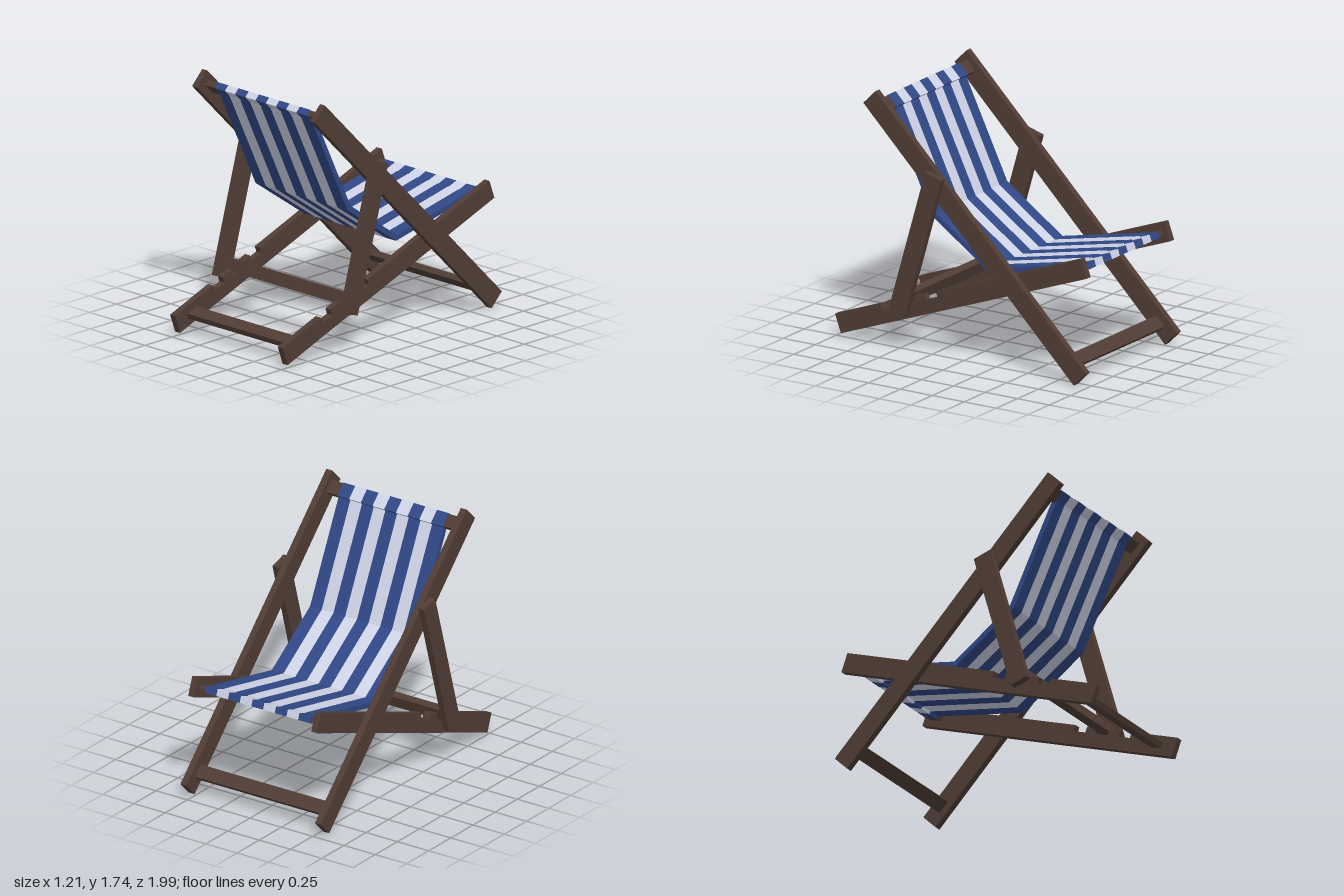
import * as THREE from 'three';

export function createModel() {
  const model = new THREE.Group();
  const wood = new THREE.MeshStandardMaterial({ color: 0x503d35 });
  const blue = new THREE.MeshStandardMaterial({ color: 0x304886 });
  const white = new THREE.MeshStandardMaterial({ color: 0xd0d5e8 });
  wood.name = 'darkWood';
  blue.name = 'blueCanvas';
  white.name = 'whiteCanvas';

  // Side-on points are [z, y]
  function add(name, geometry, material) {
    const mesh = new THREE.Mesh(geometry, material);
    mesh.name = name;
    model.add(mesh);
    return mesh;
  }

  // Box centred at [z, y], its long side leaning along the direction dir
  function bar(name, [z, y], dir, length, thick, x0, x1, material = wood) {
    const mesh = add(name, new THREE.BoxGeometry(x1 - x0, length, thick), material);
    mesh.position.set((x0 + x1) / 2, y, z);
    mesh.rotation.x = Math.atan2(dir[0], dir[1]);
  }

  // Side outline extruded from x0 to x1
  function slab(name, points, x0, x1, material) {
    const shape = new THREE.Shape(points.map(([z, y]) => new THREE.Vector2(z, y)));
    const geometry = new THREE.ExtrudeGeometry(shape, { depth: x1 - x0, bevelEnabled: false });
    geometry.rotateY(-Math.PI / 2).translate(x1, 0, 0);
    add(name, geometry, material);
  }

  const backDir = [0.707, 0.707];
  const seatDir = [-0.939, 0.344];
  const armDir = [-0.279, 0.96];

  // Notched seat rail outline: s runs along the rail, t across it
  const railPoint = (s, t) => [0.978 + seatDir[0] * s + 0.344 * t, 0.092 + seatDir[1] * s + 0.939 * t];
  const railOutline = [railPoint(0, -0.067), railPoint(0, 0.067)];
  for (const s of [0.425, 0.608, 0.791]) {
    railOutline.push(railPoint(s - 0.048, 0.067), railPoint(s - 0.048, 0.025),
      railPoint(s + 0.048, 0.025), railPoint(s + 0.048, 0.067));
  }
  railOutline.push(railPoint(2.051, 0.067), railPoint(2.051, -0.067));
  railOutline.reverse();

  // Mirrored rails and support arms
  for (const [side, sign] of [['left', 1], ['right', -1]]) {
    const span = (a, b) => (sign > 0 ? [a, b] : [-b, -a]);
    bar(side + 'BackRail', [-0.122, 0.876], backDir, 2.33, 0.135, ...span(0.514, 0.56));
    slab(side + 'SeatRail', railOutline, ...span(0.468, 0.514), wood);
    bar(side + 'SupportArm', [0.315, 0.769], armDir, 1.02, 0.13, ...span(0.56, 0.606));
  }

  // Crossbars
  const topBar = [0.632, 1.636];
  const seatBar = [-0.865, 0.767];
  bar('topCrossbar', topBar, backDir, 0.092, 0.04, -0.514, 0.514);
  bar('backFrameFootCrossbar', [-0.85, 0.146], backDir, 0.092, 0.04, -0.514, 0.514);
  bar('seatCrossbar', seatBar, seatDir, 0.092, 0.04, -0.468, 0.468);
  bar('seatFrameFootCrossbar', [0.84, 0.143], seatDir, 0.092, 0.04, -0.468, 0.468);
  bar('supportCrossbar', [0.431, 0.367], armDir, 0.083, 0.054, -0.56, 0.56);

  // Canvas sling outline, offset to both sides of its path with mitred bends
  const path = [[0.618, 1.612], [0.287, 0.93], [-0.155, 0.625], [-0.83, 0.765]]
    .map(([z, y]) => new THREE.Vector2(z, y));
  const half = 0.018;
  const normals = path.slice(1).map((p, i) => {
    const d = p.clone().sub(path[i]).normalize();
    return new THREE.Vector2(-d.y, d.x);
  });
  const upper = [];
  const lower = [];
  path.forEach((p, i) => {
    const n0 = normals[Math.max(i - 1, 0)];
    const n1 = normals[Math.min(i, normals.length - 1)];
    const miter = n0.clone().add(n1).normalize();
    miter.multiplyScalar(half / miter.dot(n0));
    upper.push([p.x + miter.x, p.y + miter.y]);
    lower.push([p.x - miter.x, p.y - miter.y]);
  });
  const sling = [...upper, ...lower.reverse()];

  // Nine stripes, each wrapped round the top and seat crossbars
  const width = 0.84 / 9;
  for (let i = 0; i < 9; i++) {
    const x0 = -0.42 + i * width;
    const material = i % 2 ? white : blue;
    slab('canvasStripe', sling, x0, x0 + width, material);
    bar('topCanvasWrap', topBar, backDir, 0.098, 0.046, x0, x0 + width, material);
    bar('seatCanvasWrap', seatBar, seatDir, 0.098, 0.046, x0, x0 + width, material);
  }

  return model;
}
